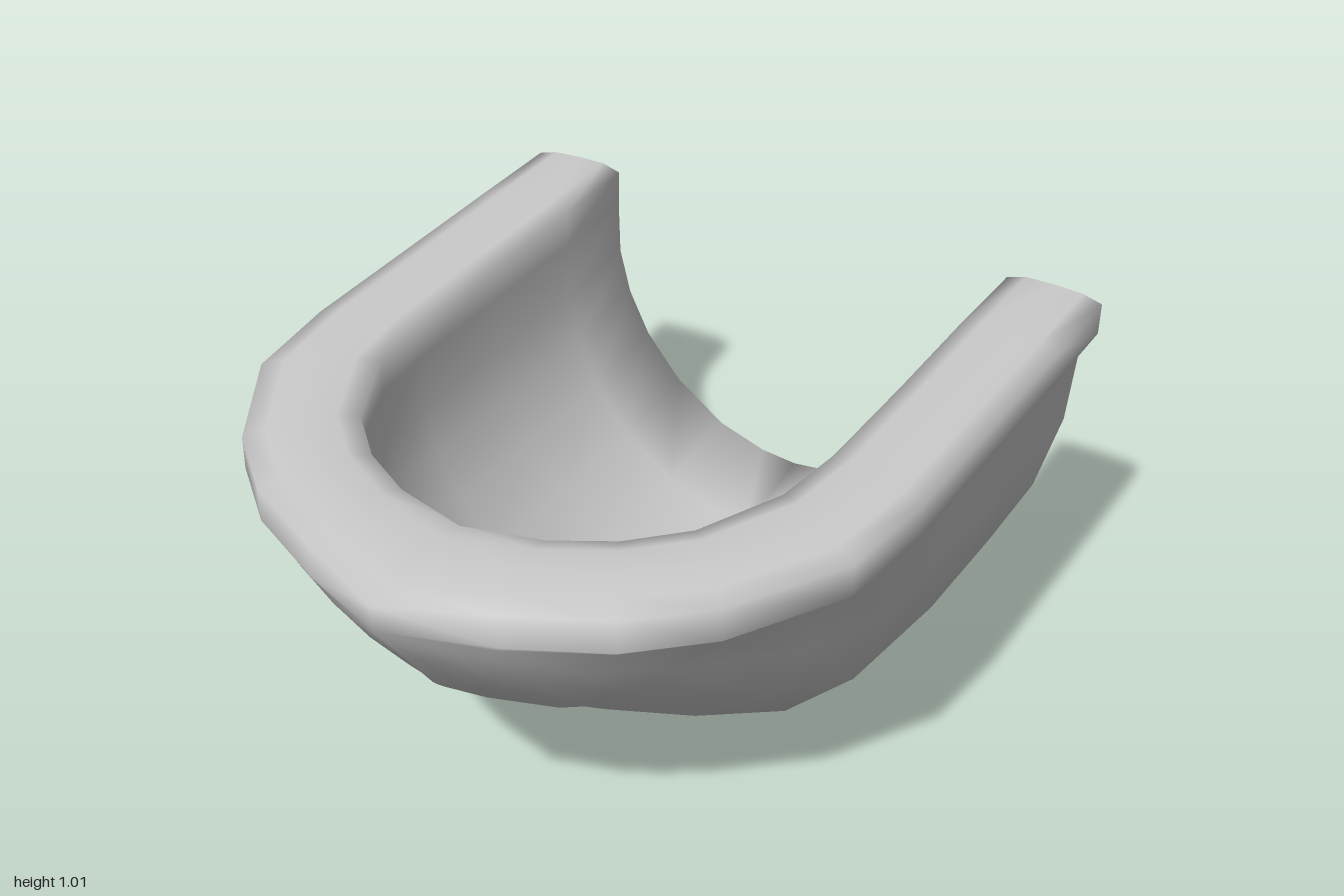
import * as THREE from 'three';
import { mergeVertices } from 'three/addons/utils/BufferGeometryUtils.js';

// Stations from stern to bow: [outer z, outer half width, keel y, inner z, inner half width, floor y]
const STATIONS = [
  [-0.98, 0.845, 0.01, -0.98, 0.585, 0.21],
  [-0.7, 0.843, 0.0, -0.7, 0.58, 0.18],
  [-0.33, 0.838, 0.015, -0.35, 0.58, 0.18],
  [0.07, 0.833, 0.085, 0.0, 0.575, 0.22],
  [0.35, 0.8, 0.27, 0.2, 0.55, 0.32],
  [0.63, 0.635, 0.495, 0.42, 0.45, 0.49],
  [0.78, 0.47, 0.63, 0.54, 0.33, 0.64],
  [0.89, 0.25, 0.78, 0.62, 0.19, 0.79],
  [1.0, 0, 0.93, 0.67, 0, 0.94],
];
// Outer section as fractions of half width and height, with a narrow keel at the bottom
const HULL = [[0, 0], [0.075, 0.004], [0.135, 0.055], [0.29, 0.09], [0.68, 0.225], [0.9, 0.44], [0.975, 0.7], [1, 1]];
// Flat-topped rim: [fraction from outer to inner edge, y]
const RIM = [[0, 0.91], [0, 0.995], [0.2, 1.01], [0.5, 1.015], [0.8, 1.015], [1, 1.0]];
// Inner section, from below the rim to the middle of the floor
const WALL = [[1, 0.88], [0.99, 0.69], [0.94, 0.53], [0.84, 0.37], [0.67, 0.21], [0.42, 0.075], [0.18, 0.015], [0, 0]];

const lerp = THREE.MathUtils.lerp;

// Half section of the shell: keel, side, rim, inner wall, floor
function section([zo, wo, yk, zi, wi, yf], index) {
  const row = [];
  const stern = index === 0;
  const vee = 0.6 * THREE.MathUtils.smoothstep(zo, -0.1, 0.85);
  const hullTop = Math.max(0.9, yk);
  for (const [fx, fy] of HULL) {
    const x = lerp(fx, fy, vee) * wo * 0.955;
    const y = lerp(yk, hullTop, fy);
    // The keel end is cut back at the stern
    const z = stern ? zo + 0.045 * Math.max(0, 1 - y / 0.14) : zo;
    row.push([x, y, z]);
  }
  for (const [t, y] of RIM) row.push([lerp(wo, wi, t), Math.max(y, yk), lerp(zo, zi, t)]);
  for (const [fx, fy] of WALL) {
    const y = lerp(yf, 1, fy);
    // The floor edge stands out a little at the stern
    const z = stern ? zi - 0.02 * Math.min(1, Math.max(0, (0.75 - y) / 0.4)) : zi;
    row.push([fx * wi, y, z]);
  }
  return row;
}

// Triangles of a grid of points and of its mirror image
function addGrid(rows, out) {
  const tri = (a, b, c) => {
    out.push(...a, ...b, ...c);
    for (const p of [a, c, b]) out.push(-p[0], p[1], p[2]);
  };
  for (let i = 0; i < rows.length - 1; i++) {
    for (let j = 0; j < rows[i].length - 1; j++) {
      const a = rows[i][j], b = rows[i][j + 1], c = rows[i + 1][j + 1], d = rows[i + 1][j];
      tri(a, b, c);
      tri(a, c, d);
    }
  }
}

export function createModel() {
  const group = new THREE.Group();
  group.name = 'bowShell';
  const positions = [];

  // Shell skin from stern to bow
  const rows = STATIONS.map(section);
  addGrid(rows, positions);

  // Stern edge joining the outer side to the inner side
  const half = rows[0].length / 2;
  const outer = rows[0].slice(0, half);
  const inner = rows[0].slice(half).reverse();
  addGrid([inner, outer], positions);

  let geometry = new THREE.BufferGeometry();
  geometry.setAttribute('position', new THREE.Float32BufferAttribute(positions, 3));
  geometry = mergeVertices(geometry, 1e-4);
  geometry.computeVertexNormals();

  const material = new THREE.MeshStandardMaterial({ color: 0xcccccc, side: THREE.DoubleSide });
  const hull = new THREE.Mesh(geometry, material);
  hull.name = 'hullWithRim';
  group.add(hull);
  return group;
}
